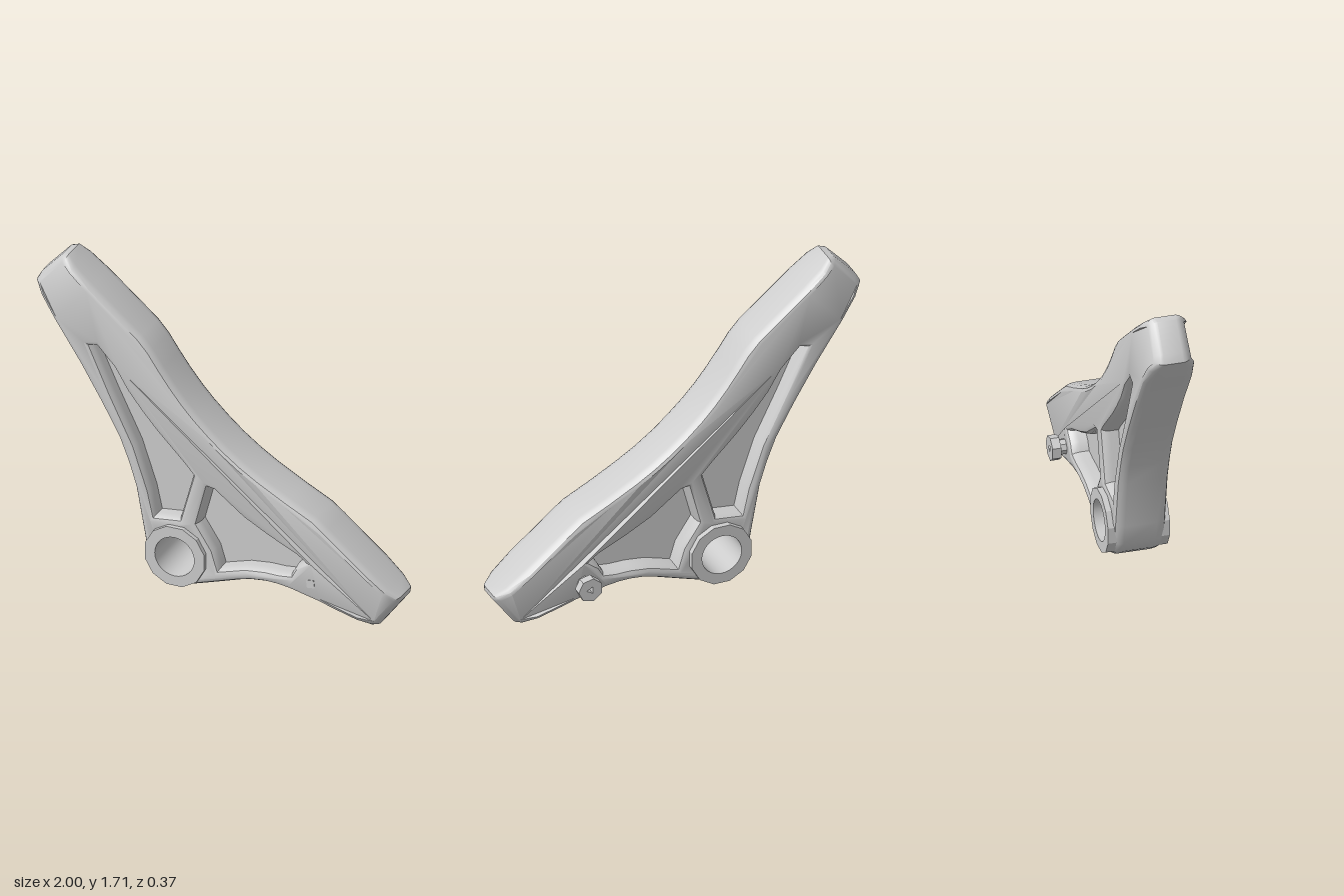
import * as THREE from 'three';
import { toCreasedNormals } from 'three/addons/utils/BufferGeometryUtils.js';

const MID_Z = 0.023; // centre plane of the casting
const HUB = [-0.2, 0.195];
const material = new THREE.MeshStandardMaterial({ color: 0xcccccc });

const toPoints = (list) => list.map(([x, y]) => new THREE.Vector2(x, y));
const circle = (r, n, x = 0, y = 0, turn = 0) => Array.from({ length: n }, (_, i) => {
  const a = turn + (i / n) * Math.PI * 2;
  return new THREE.Vector2(x + r * Math.cos(a), y + r * Math.sin(a));
});

// Listed clockwise, then turned counter-clockwise as an outer contour
const outline = toPoints([
  // upper end and concave upper edge
  [-1, 1.54], [-0.975, 1.585], [-0.86, 1.708], [-0.825, 1.715],
  [-0.776, 1.67], [-0.676, 1.587], [-0.41, 1.367], [-0.35, 1.3],
  [-0.29, 1.212], [-0.23, 1.13], [-0.165, 1.05], [-0.1, 0.98], [-0.02, 0.905],
  [0.06, 0.837], [0.155, 0.768], [0.25, 0.709], [0.4, 0.627],
  [0.546, 0.553], [0.61, 0.503], [0.84, 0.316], [0.94, 0.234],
  // lower end and lower edge
  [0.997, 0.19], [0.997, 0.165], [0.88, 0.01], [0.845, 0.002],
  [0.775, 0.027], [0.65, 0.068], [0.573, 0.092], [0.41, 0.13], [0.34, 0.139],
  [0.28, 0.14], [0.21, 0.133], [0.145, 0.118], [-0.01, 0.068], [-0.15, 0.024],
  // around the hub and up the rear edge
  [-0.21, 0.018], [-0.27, 0.03], [-0.327, 0.073], [-0.368, 0.14], [-0.385, 0.25],
  [-0.434, 0.52], [-0.475, 0.65], [-0.525, 0.777], [-0.62, 0.95],
  [-0.74, 1.15], [-0.885, 1.37], [-0.96, 1.48],
]).reverse();

const upperPocket = toPoints([
  [-0.67, 1.26], [-0.645, 1.265], [-0.55, 1.165], [-0.48, 1.05], [-0.4, 0.95],
  [-0.32, 0.86], [-0.16, 0.7], [-0.12, 0.655], [-0.19, 0.4], [-0.32, 0.385],
  [-0.35, 0.52], [-0.43, 0.755], [-0.56, 1.02],
]);
const lowerPocket = toPoints([
  [-0.03, 0.6], [0, 0.595], [0.16, 0.475], [0.3, 0.4], [0.45, 0.33], [0.495, 0.3],
  [0.445, 0.265], [0.42, 0.22], [0.36, 0.213], [0.28, 0.214], [0.17, 0.202],
  [0.03, 0.16], [0, 0.26], [-0.085, 0.39],
]);

// Extrudes a shape between two z planes, with optional bevel inside those limits
function slab(name, points, holes, z0, z1, bevel = { size: 0, thickness: 0 }) {
  const shape = new THREE.Shape(points);
  holes.forEach((h) => shape.holes.push(new THREE.Path(h)));
  const { size, thickness } = bevel;
  const geometry = new THREE.ExtrudeGeometry(shape, {
    depth: z1 - z0 - 2 * thickness,
    bevelEnabled: size > 0,
    bevelThickness: thickness,
    bevelSize: size,
    bevelOffset: -size,
    bevelSegments: 3,
  });
  geometry.translate(0, 0, z0 + thickness);
  const mesh = new THREE.Mesh(geometry, material);
  mesh.name = name;
  return mesh;
}

// Thins the casting towards both beam ends
function taperEnds(geometry) {
  const ends = [[-0.738, 0.675, 1.78], [0.783, -0.62, 0.67]];
  const p = geometry.attributes.position;
  for (let i = 0; i < p.count; i++) {
    let k = 1;
    for (const [dx, dy, limit] of ends) {
      const e = dx * p.getX(i) + dy * p.getY(i);
      const t = THREE.MathUtils.clamp((e - limit + 0.2) / 0.2, 0, 1);
      k -= 0.42 * t ** 3;
    }
    p.setZ(i, MID_Z + (p.getZ(i) - MID_Z) * k);
  }
}

export function createModel() {
  const group = new THREE.Group();
  group.name = 'leverArm';

  // Beam, bars and rib in one casting with drafted pocket walls
  const frame = slab('frame', outline,
    [upperPocket, lowerPocket, circle(0.109, 32, ...HUB)],
    -0.11, 0.156, { size: 0.03, thickness: 0.05 });
  taperEnds(frame.geometry);
  frame.geometry = toCreasedNormals(frame.geometry, 0.6);
  group.add(frame);

  // Thin webs closing the pockets
  group.add(slab('upperWeb', upperPocket, [], MID_Z - 0.04, MID_Z + 0.04));
  group.add(slab('lowerWeb', lowerPocket, [], MID_Z - 0.04, MID_Z + 0.04));

  // Pivot hub with a through bore
  const hub = slab('pivotHub', circle(0.168, 12, 0, 0, Math.PI / 12),
    [circle(0.108, 32)], -0.14, 0.18);
  hub.geometry = toCreasedNormals(hub.geometry, 0.4);
  hub.position.set(...HUB, 0);
  group.add(hub);

  // Headed pin on the back, its tip showing at the front
  const pin = new THREE.Group();
  pin.name = 'pin';
  pin.position.set(0.535, 0.195, 0);
  pin.add(slab('pinShaft', circle(0.04, 8), [], -0.15, -0.05));
  pin.add(slab('pinHead', circle(0.066, 7), [circle(0.022, 3)], -0.19, -0.145));
  pin.add(slab('pinTip', circle(0.03, 4, 0, 0, 0.9), [], 0.12, 0.159));
  group.add(pin);

  return group;
}
